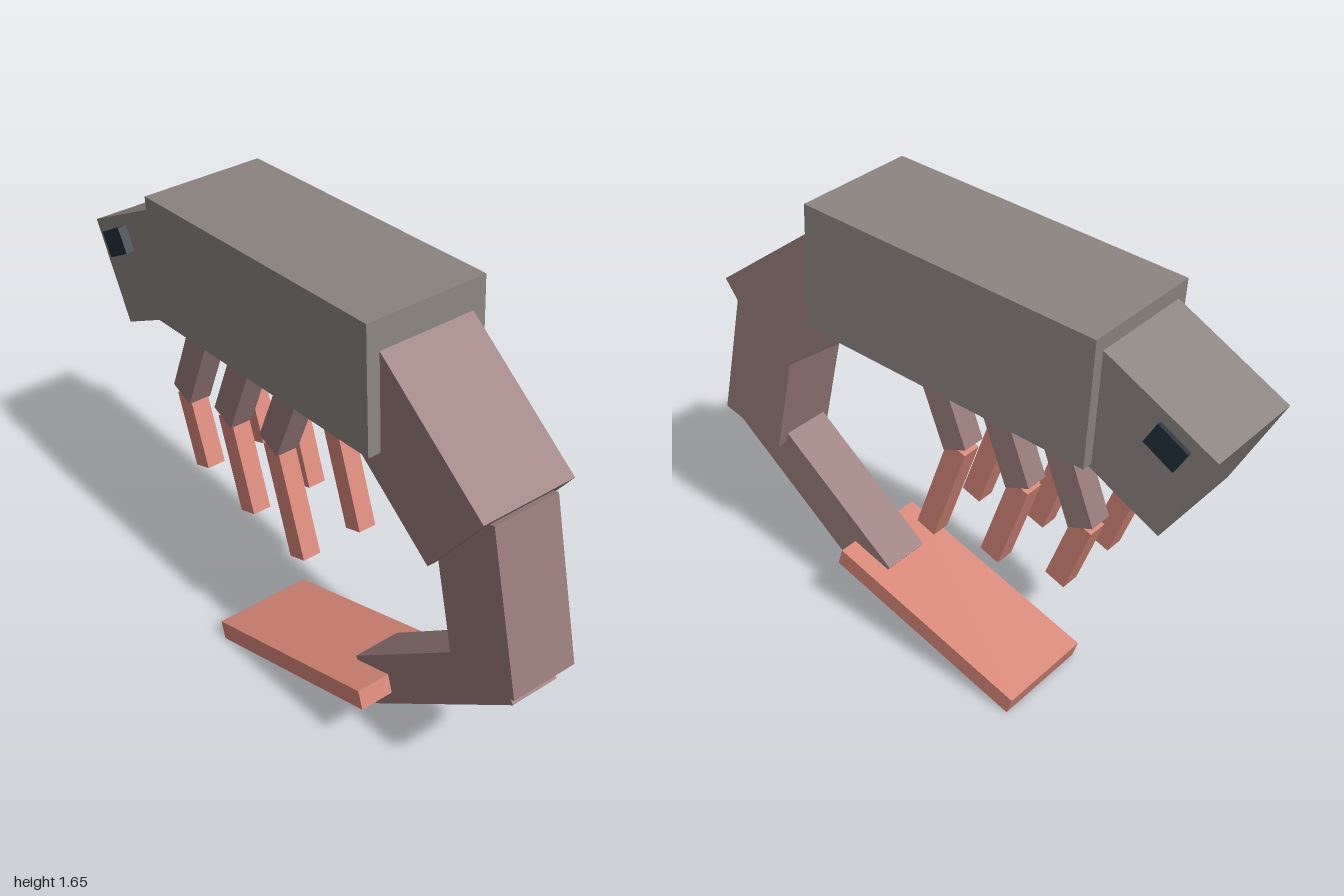
import * as THREE from 'three';

const material = (color) => new THREE.MeshStandardMaterial({ color, flatShading: true });

export function createModel() {
  const model = new THREE.Group();
  model.name = 'shrimp';
  const shell = material(0x8c8481);
  const mauve = material(0x987c7a);
  const coral = material(0xd88879);
  const dark = material(0x22303a);

  // Box whose centreline runs between two [z, y] points
  function bar(name, a, b, height, width, mat, x = 0) {
    const dz = b[0] - a[0], dy = b[1] - a[1];
    const mesh = new THREE.Mesh(new THREE.BoxGeometry(width, height, Math.hypot(dz, dy)), mat);
    mesh.position.set(x, (a[1] + b[1]) / 2, (a[0] + b[0]) / 2);
    mesh.rotation.x = Math.atan2(dy, -dz);
    mesh.name = name;
    model.add(mesh);
  }

  // Body and drooping head
  bar('body', [0.45, 1.443], [-0.61, 1.393], 0.425, 0.43, shell);
  bar('head', [-0.47, 1.43], [-0.915, 1.203], 0.358, 0.355, shell);

  // Eyes on both sides of the head
  for (const side of [1, -1]) {
    bar(side > 0 ? 'leftEye' : 'rightEye', [-0.79, 1.378], [-0.89, 1.322], 0.087, 0.05, dark, side * 0.175 - 0.008);
  }

  // Curled tail segments and flat tail fan
  bar('tailBase', [0.295, 1.455], [0.775, 1.095], 0.342, 0.34, mauve);
  bar('tailMiddle', [0.743, 1.17], [0.873, 0.625], 0.26, 0.24, mauve);
  bar('tailTip', [0.92, 0.667], [0.3275, 0.2075], 0.17, 0.175, mauve, -0.005);
  bar('tailFan', [0.445, 0.28], [-0.31, 0.037], 0.068, 0.365, coral, -0.032);

  // Three pairs of jointed legs: knee and foot positions as [z, y]
  const legs = [
    { knee: [-0.066, 0.96], foot: [0.065, 0.588] },
    { knee: [-0.31, 0.932], foot: [-0.2, 0.612] },
    { knee: [-0.545, 0.9], foot: [-0.455, 0.651] },
  ];
  for (const { knee, foot } of legs) {
    for (const [side, x] of [['left', 0.095], ['right', -0.134]]) {
      bar(side + 'UpperLeg', [knee[0] + 0.125, knee[1] + 0.31], knee, 0.095, 0.082, mauve, x);
      bar(side + 'LowerLeg', knee, foot, 0.074, 0.066, coral, x);
    }
  }

  // Slight turn of the whole animal
  model.rotation.y = THREE.MathUtils.degToRad(1.7);
  return model;
}
